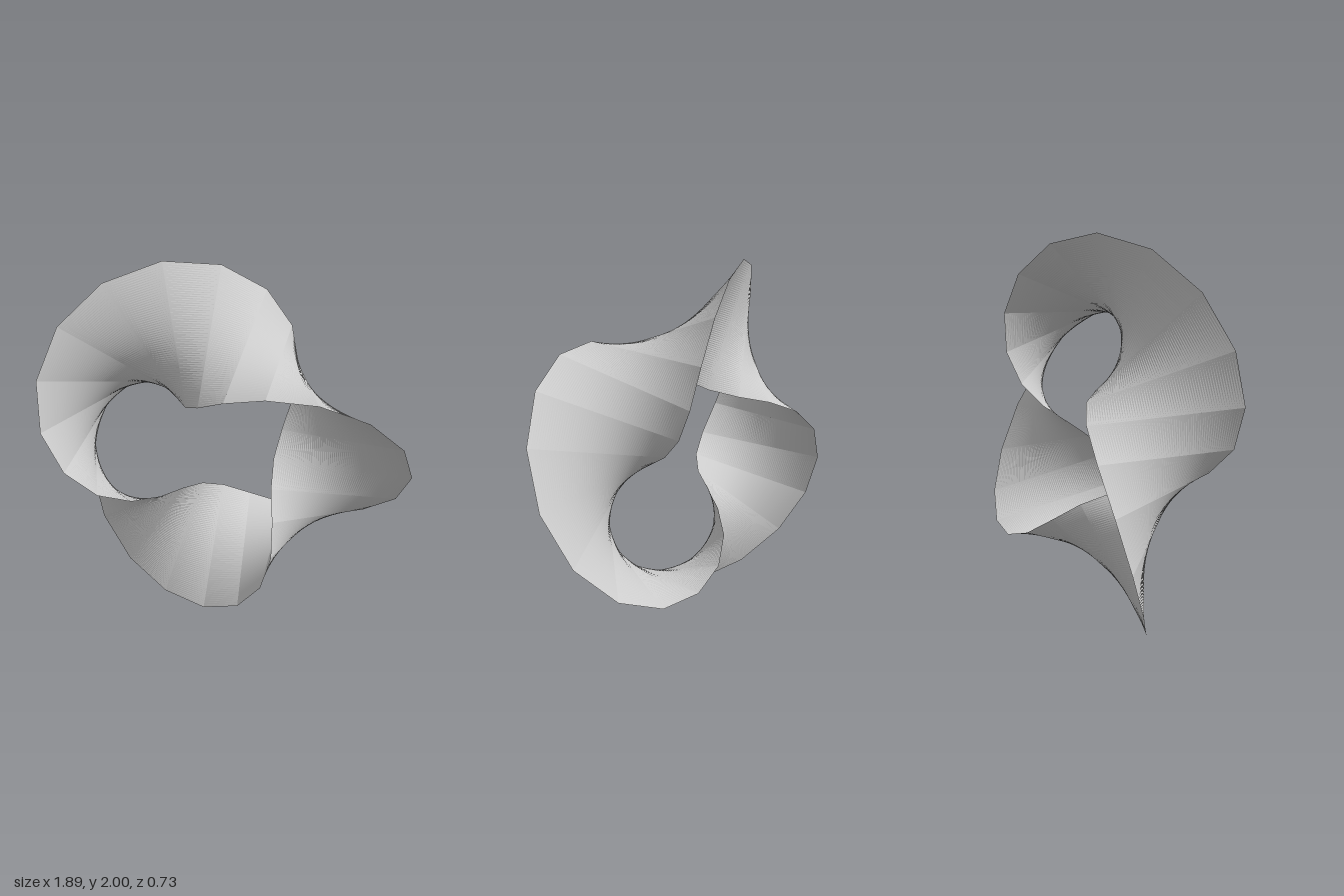
import * as THREE from 'three';
import { ParametricGeometry } from 'three/addons/geometries/ParametricGeometry.js';

const RADIUS = 0.7;        // centre line of the loop
const HALF_WIDTH = 0.363;  // half the width of the band
const HALF_TWISTS = 3;
const CENTRE = new THREE.Vector3(-0.118, 1, 0);

// Point on the band: u runs once around the loop, v runs across its width.
function bandPoint(u, v, target) {
  const angle = u * Math.PI * 2;
  const twist = angle * HALF_TWISTS / 2;
  const offset = (v * 2 - 1) * HALF_WIDTH;
  const r = RADIUS + offset * Math.cos(twist);
  target.set(r * Math.cos(angle), r * Math.sin(angle), offset * Math.sin(twist)).add(CENTRE);
}

export function createModel() {
  const group = new THREE.Group();
  group.name = 'twistedLoop';

  // One-sided band: 24 coarse steps around, finely divided across
  const band = new THREE.Mesh(
    new ParametricGeometry(bandPoint, 24, 64),
    new THREE.MeshStandardMaterial({ color: 0xcccccc, flatShading: true, side: THREE.DoubleSide })
  );
  band.name = 'twistedBand';
  group.add(band);
  return group;
}
